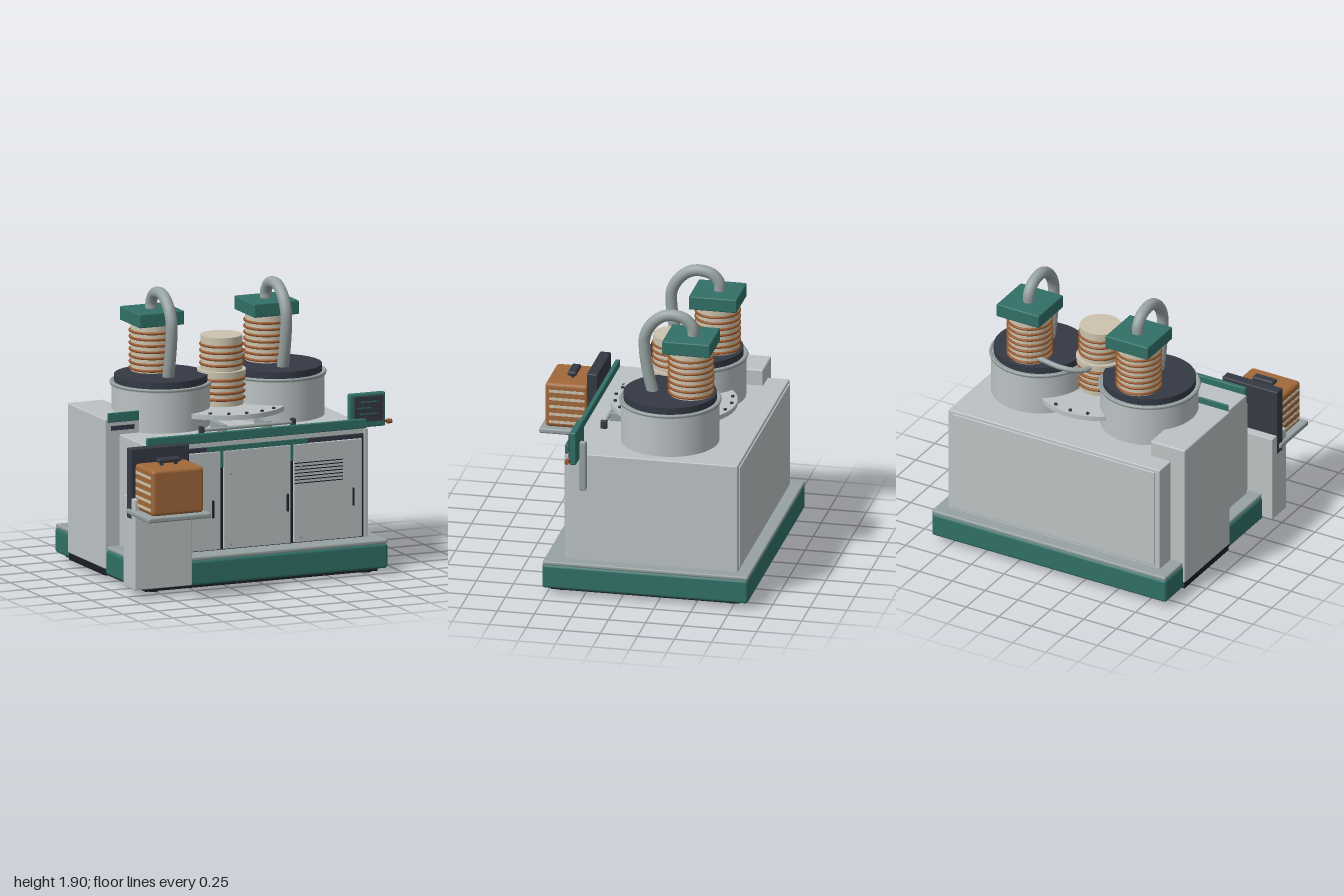
import * as THREE from 'three';
import { RoundedBoxGeometry } from 'three/addons/geometries/RoundedBoxGeometry.js';

const mat = (name, color) => {
  const m = new THREE.MeshStandardMaterial({ color });
  m.name = name;
  return m;
};

export function createModel() {
  const root = new THREE.Group();
  root.name = 'machine';
  const panel = mat('panel grey', 0xbcc2c4);
  const steel = mat('steel grey', 0x97a2a2);
  const green = mat('green enamel', 0x317067);
  const dark = mat('dark slate', 0x343944);
  const black = mat('black', 0x1b1e24);
  const copper = mat('copper', 0x9a582a);
  const orange = mat('orange enamel', 0xa2683a);
  const cream = mat('cream ceramic', 0xccc3ae);
  const plate = mat('under plate grey', 0x7d8382);

  const add = (name, geo, m, x = 0, y = 0, z = 0, parent = root) => {
    const mesh = new THREE.Mesh(geo, m);
    mesh.name = name;
    mesh.position.set(x, y, z);
    parent.add(mesh);
    return mesh;
  };
  // Boxes are given by their limits; r rounds the edges
  const box = (name, m, [x0, x1], [y0, y1], [z0, z1], r = 0, parent = root) => {
    const s = [x1 - x0, y1 - y0, z1 - z0];
    const geo = r ? new RoundedBoxGeometry(...s, 2, r) : new THREE.BoxGeometry(...s);
    return add(name, geo, m, (x0 + x1) / 2, (y0 + y1) / 2, (z0 + z1) / 2, parent);
  };
  const cyl = (name, m, r, y0, y1, x, z, parent = root, seg = 48) =>
    add(name, new THREE.CylinderGeometry(r, r, y1 - y0, seg), m, x, (y0 + y1) / 2, z, parent);
  const ring = (name, m, r, t, x, y, z, parent = root) => {
    const o = add(name, new THREE.TorusGeometry(r, t, 8, 48), m, x, y, z, parent);
    o.rotation.x = Math.PI / 2;
    return o;
  };
  const tube = (name, m, pts, r, parent = root) => add(name, new THREE.TubeGeometry(
    new THREE.CatmullRomCurve3(pts.map(p => new THREE.Vector3(...p))), 48, r, 16), m, 0, 0, 0, parent);

  // Base with feet
  box('base', green, [-0.9, 0.885], [0.04, 0.207], [-0.86, 0.53], 0.02);
  box('baseTrim', steel, [-0.895, 0.885], [0.205, 0.232], [-0.86, 0.525], 0.01);
  box('underSkirt', black, [-0.85, 0.83], [0.018, 0.045], [-0.79, 0.48]);
  box('underPlate', plate, [-0.58, 0.58], [0.012, 0.02], [-0.62, 0.3]);
  for (const x of [-0.52, 0.52]) for (const z of [-0.55, 0.24])
    cyl('innerFoot', black, 0.033, 0, 0.02, x, z, root, 24);
  for (const x of [-0.77, 0.77]) for (const z of [-0.73, 0.42])
    cyl('cornerFoot', black, 0.04, 0.008, 0.03, x, z, root, 24);

  // Main cabinet
  box('cabinet', panel, [-0.805, 0.805], [0.225, 0.98], [-0.775, 0.375], 0.008);
  box('rearPanel', panel, [-0.77, 0.77], [0.25, 0.96], [-0.785, -0.77], 0.005);
  box('frontRecess', black, [-0.77, 0.77], [0.235, 0.93], [0.37, 0.385]);
  box('frontTopStrip', dark, [-0.77, 0.76], [0.905, 0.932], [0.38, 0.4]);
  box('frontPost', panel, [0.775, 0.8], [0.235, 0.96], [0.37, 0.395]);
  box('greenRail', green, [-0.795, 0.79], [0.965, 1.028], [0.366, 0.396], 0.006);
  box('greenHeader', green, [-0.37, 0.36], [0.902, 0.935], [0.39, 0.404]);
  for (const x of [-0.258, 0.25])
    box('greenDivider', green, [x - 0.009, x + 0.009], [0.79, 0.91], [0.38, 0.399]);

  // Doors with handles, screws and hinges
  const doors = [[-0.795, -0.27, -0.325], [-0.246, 0.238, 0.215], [0.262, 0.755, 0.69]];
  doors.forEach(([x0, x1, hx], i) => {
    const door = new THREE.Group();
    door.name = 'door';
    root.add(door);
    box('doorPanel', panel, [x0, x1], [0.24, 0.9], [0.38, 0.4], 0.004, door);
    box('doorHandle', black, [hx - 0.007, hx + 0.007], [0.455, 0.575], [0.398, 0.412], 0.005, door);
    for (const y of [0.27, 0.745]) {
      const screw = add('doorScrew', new THREE.CylinderGeometry(0.009, 0.009, 0.006, 16), steel,
        x0 + 0.05, y, 0.402, door);
      screw.rotation.x = Math.PI / 2;
    }
    if (i === 2) for (let k = 0; k < 7; k++)
      box('ventSlot', black, [0.265, 0.615], [0.635 + k * 0.0225, 0.641 + k * 0.0225], [0.399, 0.402], 0, door);
  });

  // Side cabinet on the right flank
  box('sideCabinet', panel, [-0.912, -0.65], [0.08, 1.09], [-0.63, -0.03], 0.01);
  box('sideCabinetFoot', black, [-0.905, -0.66], [0.035, 0.085], [-0.62, -0.04]);
  box('sideCabinetLabel', green, [-0.895, -0.67], [1.065, 1.13], [-0.032, -0.018], 0.005);
  box('sideCabinetVent', dark, [-0.87, -0.7], [1.01, 1.04], [-0.031, -0.024]);

  // Two tanks, each with a coil tower and a bent pipe
  for (const side of [-1, 1]) {
    const tank = new THREE.Group();
    tank.name = side < 0 ? 'rightTank' : 'leftTank';
    tank.position.x = side * 0.415;
    root.add(tank);
    const z = -0.235, tz = -0.375;
    cyl('tankBody', panel, 0.325, 0.975, 1.255, 0, z, tank, 64);
    cyl('tankFlange', steel, 0.334, 1.252, 1.272, 0, z, tank, 64);
    ring('tankRim', steel, 0.328, 0.011, 0, 1.266, z, tank);
    cyl('tankLid', dark, 0.308, 1.27, 1.318, 0, z, tank, 64);
    cyl('coilCore', cream, 0.143, 1.31, 1.64, 0, tz, tank);
    for (let k = 0; k < 7; k++) ring('coilRing', copper, 0.146, 0.009, 0, 1.335 + k * 0.042, tz, tank);
    box('towerCap', green, [-0.162, 0.162], [1.637, 1.73], [tz - 0.162, tz + 0.162], 0.008, tank);
    tube('bentPipe', steel, [[0, 1.31, -0.117], [0, 1.42, -0.09], [0, 1.6, -0.063], [0, 1.7, -0.066],
      [0, 1.79, -0.115], [0, 1.846, -0.19], [0, 1.857, -0.26], [0, 1.835, -0.34],
      [0, 1.78, -0.385], [0, 1.72, -0.39]], 0.039, tank);
  }

  // Bolted disc between the tanks
  const dz = -0.17;
  cyl('disc', panel, 0.42, 1.065, 1.098, 0, dz, root, 72);
  for (let k = 0; k < 20; k++) {
    const a = k * Math.PI / 10;
    cyl('discBolt', dark, 0.012, 1.095, 1.108, Math.sin(a) * 0.39, dz + Math.cos(a) * 0.39, root, 12);
  }

  // Central insulator column
  cyl('lowerInsulator', cream, 0.147, 1.095, 1.3, -0.005, dz);
  cyl('insulatorCollar', cream, 0.162, 1.295, 1.332, -0.005, dz);
  cyl('upperInsulator', cream, 0.138, 1.33, 1.56, -0.005, dz);
  for (let k = 0; k < 4; k++) {
    ring('lowerCoil', copper, 0.152, 0.01, -0.005, 1.145 + k * 0.043, dz);
    ring('upperCoil', copper, 0.139, 0.009, -0.005, 1.37 + k * 0.043, dz);
  }
  tube('linkPipe', steel, [[-0.015, 1.305, -0.3], [-0.005, 1.31, -0.36], [0.05, 1.32, -0.42],
    [0.14, 1.335, -0.455], [0.25, 1.352, -0.46], [0.32, 1.355, -0.45]], 0.018);

  // Guide rod on two brackets
  const rod = add('guideRod', new THREE.CylinderGeometry(0.012, 0.012, 0.66, 16), steel, -0.003, 1.015, 0.23);
  rod.rotation.z = Math.PI / 2;
  for (const x of [-1, 1]) {
    box('rodEnd', dark, [x * 0.332 - 0.014, x * 0.332 + 0.014], [0.985, 1.04], [0.208, 0.252], 0.004);
    box('rodBracket', steel, [x * 0.16 - 0.02, x * 0.16 + 0.02], [0.98, 1.032], [0.03, 0.225]);
  }

  // Control display on its arm
  box('displayArm', steel, [0.808, 0.846], [0.735, 1.08], [0.24, 0.288], 0.012);
  box('displayCase', green, [0.697, 0.957], [0.955, 1.185], [0.283, 0.33], 0.012);
  box('displayScreen', dark, [0.73, 0.94], [0.995, 1.165], [0.327, 0.336]);
  [[0.76, 0.9, 1.125], [0.75, 0.85, 1.085], [0.77, 0.9, 1.045]].forEach(([x0, x1, y]) =>
    box('screenLine', green, [x0, x1], [y, y + 0.007], [0.335, 0.339]));
  box('displayKnobArm', dark, [0.95, 0.97], [0.98, 0.992], [0.315, 0.335]);
  const knob = add('displayKnob', new THREE.CylinderGeometry(0.016, 0.016, 0.034, 16), copper, 0.978, 0.987, 0.338);
  knob.rotation.z = Math.PI / 2;

  // Side stand with tray and back board
  box('stand', panel, [-0.978, -0.565], [0.06, 0.67], [0.41, 0.595], 0.006);
  box('tray', steel, [-0.996, -0.543], [0.56, 0.596], [0.49, 0.86], 0.012);
  box('backBoard', dark, [-0.982, -0.56], [0.53, 1.0], [0.468, 0.542], 0.008);

  // Orange unit with louvres on both flanks and a handle
  box('orangeUnit', orange, [-0.955, -0.582], [0.595, 0.905], [0.535, 0.828], 0.025);
  for (const x of [-0.955, -0.582]) for (let k = 0; k < 5; k++)
    box('louvre', cream, [x - 0.004, x + 0.004], [0.625 + k * 0.054, 0.643 + k * 0.054], [0.56, 0.8]);
  box('unitHandle', dark, [-0.85, -0.69], [0.922, 0.953], [0.64, 0.7], 0.012);
  for (const x of [-0.82, -0.72]) box('handlePost', dark, [x - 0.01, x + 0.01], [0.9, 0.93], [0.66, 0.68]);

  return root;
}
